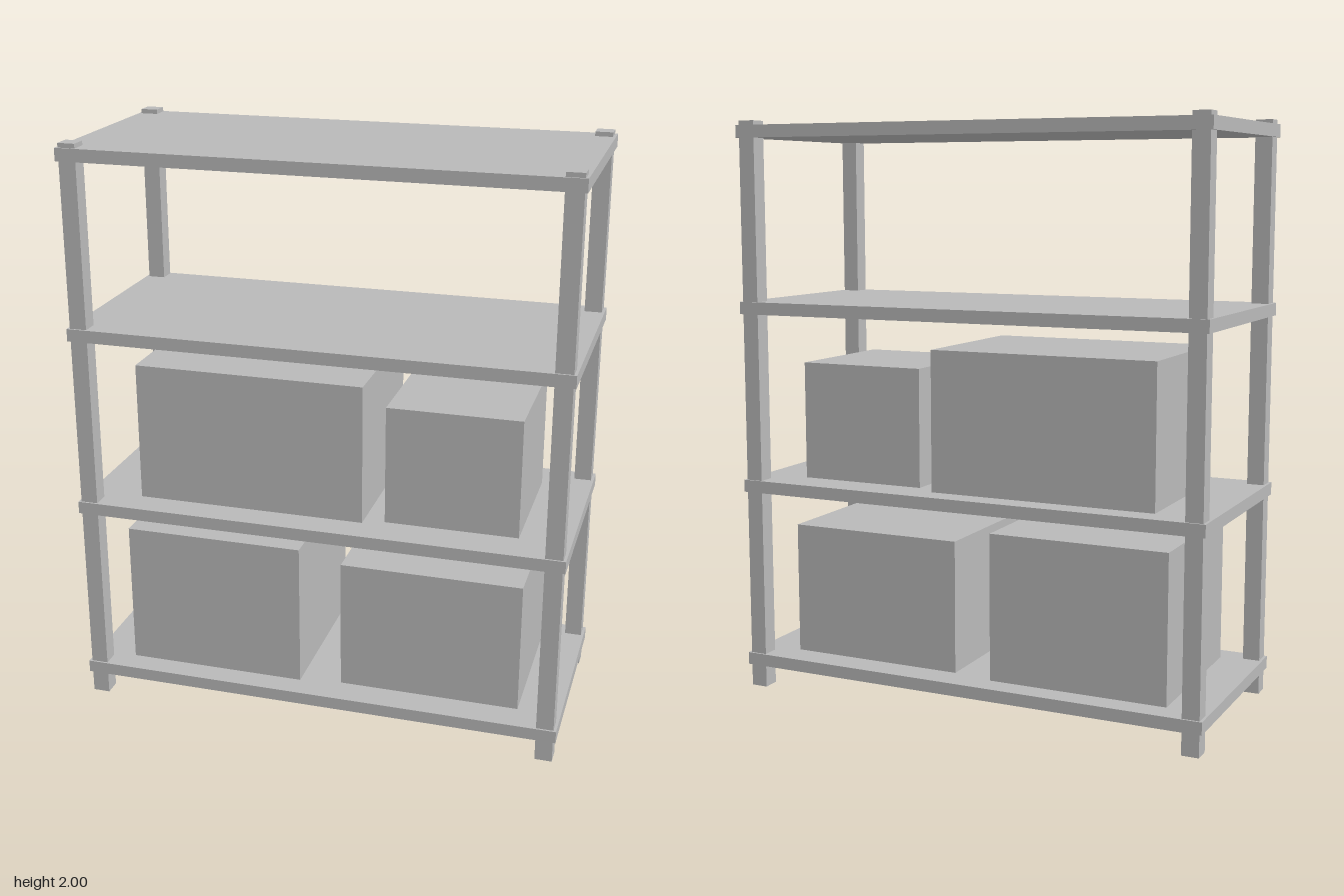
import * as THREE from 'three';

export function createModel() {
  const group = new THREE.Group();
  group.name = 'storageShelf';
  const grey = new THREE.MeshStandardMaterial({ color: 0xb8b8b8 });
  grey.name = 'plain grey';

  // Box given by its extents along each axis
  const addBox = (name, [x0, x1], [y0, y1], [z0, z1]) => {
    const mesh = new THREE.Mesh(new THREE.BoxGeometry(x1 - x0, y1 - y0, z1 - z0), grey);
    mesh.position.set((x0 + x1) / 2, (y0 + y1) / 2, (z0 + z1) / 2);
    mesh.name = name;
    group.add(mesh);
  };

  // Four square corner posts
  for (const sx of [-1, 1]) {
    for (const sz of [-1, 1]) {
      const x = sx * 0.81, z = sz * 0.338, r = 0.0295;
      addBox(`${sz > 0 ? 'front' : 'back'}${sx > 0 ? 'Left' : 'Right'}Post`,
        [x - r, x + r], [0, 2], [z - r, z + r]);
    }
  }

  // Shelf boards, slightly proud of the posts
  const shelfTops = [0.121, 0.752, 1.381, 1.985];
  shelfTops.forEach((top, i) =>
    addBox(`shelf${i + 1}`, [-0.849, 0.849], [top - 0.043, top], [-0.374, 0.374]));

  // Stored boxes resting on the two lower shelves
  addBox('lowerRightBox', [-0.703, -0.073], [shelfTops[0], 0.63], [-0.29, 0.29]);
  addBox('lowerLeftBox', [0.07, 0.70], [shelfTops[0], 0.583], [-0.267, 0.267]);
  addBox('upperRightBox', [-0.655, 0.145], [shelfTops[1], 1.237], [-0.29, 0.268]);
  addBox('upperLeftBox', [0.217, 0.674], [shelfTops[1], 1.164], [-0.241, 0.241]);

  return group;
}
